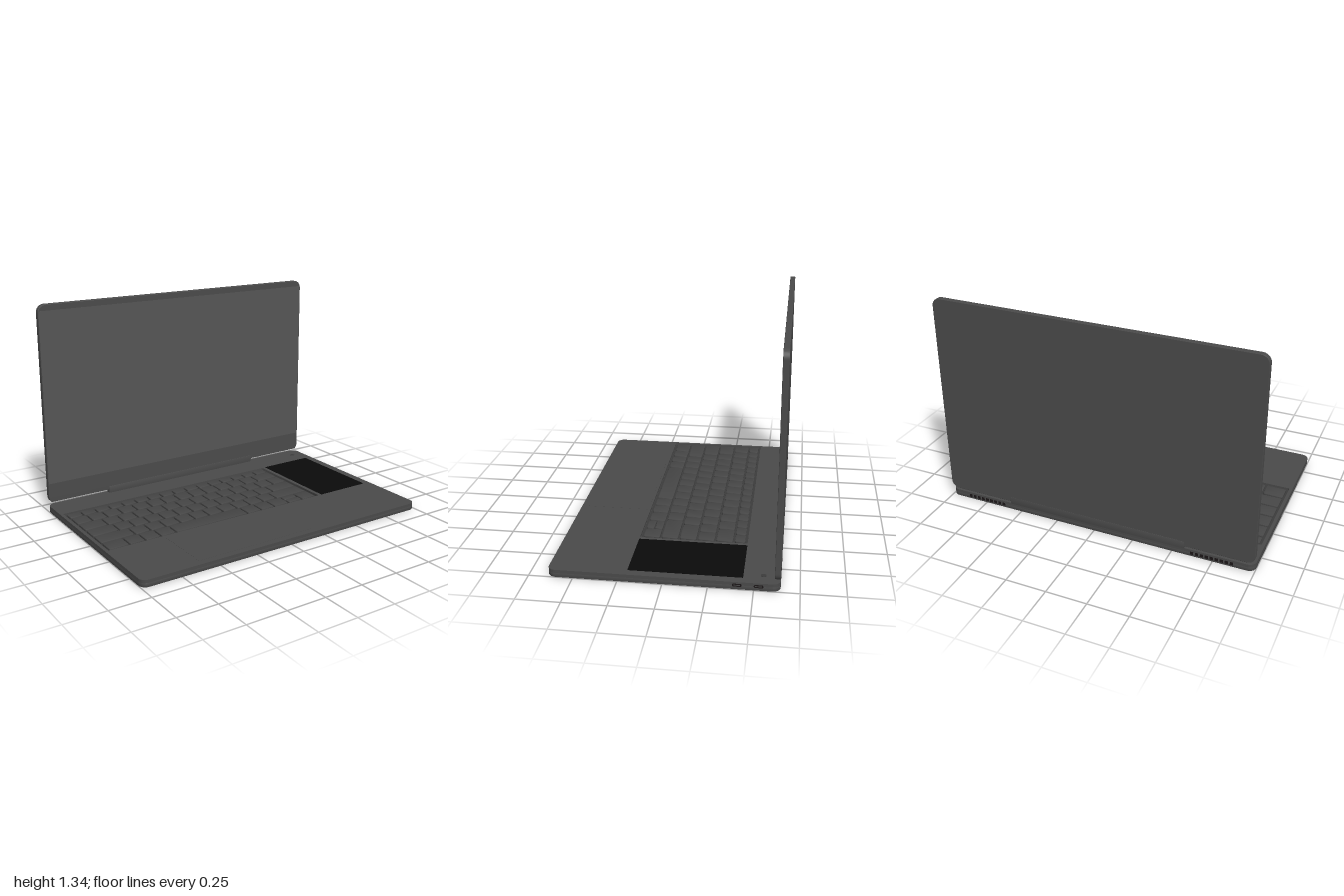
import * as THREE from 'three';
import { toCreasedNormals } from 'three/addons/utils/BufferGeometryUtils.js';

const mat = (color) => new THREE.MeshStandardMaterial({ color });
const body = mat(0x4a4a4a), keyMat = mat(0x464646), trayMat = mat(0x3c3c3c);
const glass = mat(0x555555), black = mat(0x0b0b0b), dark = mat(0x1c1718);

// Rounded rectangle between two corners
function roundRect(x0, y0, x1, y1, r, Type = THREE.Shape) {
  const s = new Type();
  s.moveTo(x0 + r, y0);
  s.lineTo(x1 - r, y0);
  s.absarc(x1 - r, y0 + r, r, -Math.PI / 2, 0);
  s.lineTo(x1, y1 - r);
  s.absarc(x1 - r, y1 - r, r, 0, Math.PI / 2);
  s.lineTo(x0 + r, y1);
  s.absarc(x0 + r, y1 - r, r, Math.PI / 2, Math.PI);
  s.lineTo(x0, y0 + r);
  s.absarc(x0 + r, y0 + r, r, Math.PI, Math.PI * 1.5);
  return s;
}

// Extrusion from depth 0 to d, bevelled inwards by b
function slab(shape, d, b = 0, curveSegments = 8) {
  const g = new THREE.ExtrudeGeometry(shape, {
    depth: d - 2 * b, curveSegments, bevelEnabled: b > 0,
    bevelThickness: b, bevelSize: b, bevelOffset: -b, bevelSegments: 2,
  });
  g.translate(0, 0, b);
  return toCreasedNormals(g, 0.6);
}

// Horizontal slab seen from above: x0..x1, z0..z1, y0..y1
function plate(x0, z0, x1, z1, y0, y1, r, b = 0, hole = null, seg = 8) {
  const s = roundRect(x0, -z1, x1, -z0, r);
  if (hole) s.holes.push(roundRect(hole[0], -hole[3], hole[2], -hole[1], 0.008, THREE.Path));
  return slab(s, y1 - y0, b, seg).rotateX(-Math.PI / 2).translate(0, y0, 0);
}

export function createModel() {
  const model = new THREE.Group();
  model.name = 'laptop';
  const add = (name, geometry, material, parent = model) => {
    const m = new THREE.Mesh(geometry, material);
    m.name = name;
    parent.add(m);
    return m;
  };
  const box = (name, w, h, d, x, y, z, material, parent) =>
    add(name, new THREE.BoxGeometry(w, h, d).translate(x, y, z), material, parent);

  // Base: lower shell and deck with an opening for the keyboard
  add('baseShell', plate(-1, -0.645, 1, 0.643, 0, 0.03, 0.045, 0.004), body);
  add('deck', plate(-1, -0.645, 1, 0.643, 0.026, 0.045, 0.045, 0,
    [-0.98, -0.44, 0.555, 0.2]), body);
  add('keyboardTray', plate(-0.978, -0.438, 0.553, 0.198, 0.029, 0.031, 0.008), trayMat);

  // Keyboard: key widths in units for each row, back to front
  const keyboard = new THREE.Group();
  keyboard.name = 'keyboard';
  model.add(keyboard);
  const ones = (n) => Array(n).fill(1);
  const rows = [
    ones(16),
    [...ones(13), 1.5],
    [1.5, ...ones(13)],
    [1.7, ...ones(11), 1.8],
    [2.2, ...ones(10), 2.3],
    [1.3, 1, 1, 1, 5, 1, 1, 1.1, 1.05, 1.05],
  ];
  const left = -0.97, width = 1.51, gap = 0.006;
  let z = -0.43;
  rows.forEach((widths, i) => {
    const depth = i === 0 ? 0.073 : 0.109;
    const unit = width / widths.reduce((a, b) => a + b, 0);
    let x = left;
    widths.forEach((w, k) => {
      const x1 = x + w * unit;
      const key = (za, zb) => add('key', plate(x + gap, za, x1 - gap, zb,
        0.03, 0.043, 0.01, 0.002, null, 3), keyMat, keyboard);
      if (i === 5 && k === 8) { // split up and down arrow keys
        key(z + gap, z + depth / 2 - 0.003);
        key(z + depth / 2 + 0.003, z + depth - gap);
      } else key(z + gap, z + depth - gap);
      x = x1;
    });
    z += depth;
  });

  // Side touch panel, touchpad and power button
  add('sideTouchPanel', plate(0.58, -0.44, 0.95, 0.2, 0.04, 0.0465, 0.003), black);
  add('touchpad', plate(-0.62, 0.215, 0.18, 0.6, 0.04, 0.0458, 0.01), body);
  add('powerButton', new THREE.CylinderGeometry(0.016, 0.016, 0.004, 24)
    .translate(0.912, 0.0445, -0.55), trayMat);

  // Side ports: dark slot with a lighter tongue
  for (const pz of [-0.41, -0.527]) {
    const slot = slab(roundRect(-0.026, -0.009, 0.026, 0.009, 0.008), 0.004);
    add('port', slot.rotateY(Math.PI / 2).translate(0.9965, 0.026, pz), dark);
    box('portTongue', 0.004, 0.005, 0.036, 0.9992, 0.026, pz, body);
  }

  // Rear vents
  for (const side of [-1, 1])
    for (let i = 0; i < 9; i++)
      box('vent', 0.02, 0.02, 0.004, side * (0.625 + i * 0.03), 0.022, -0.6438, dark);

  // Lid, with its lower front edge cut back
  const lid = slab(roundRect(-1, 0.057, 1, 1.343, 0.05), 0.033, 0.003);
  const p = lid.attributes.position;
  for (let i = 0; i < p.count; i++)
    if (p.getZ(i) > 0.016) p.setY(i, Math.max(p.getY(i), 0.068));
  lid.computeVertexNormals();
  add('lid', lid.translate(0, 0, -0.645), body);
  box('display', 1.992, 1.112, 0.003, 0, 0.748, -0.613, glass);

  // Hinge between base and lid
  add('hinge', slab(roundRect(-0.577, 0.04, 0.573, 0.09, 0.004), 0.038, 0.003)
    .translate(0, 0, -0.6465), body);

  return model;
}
